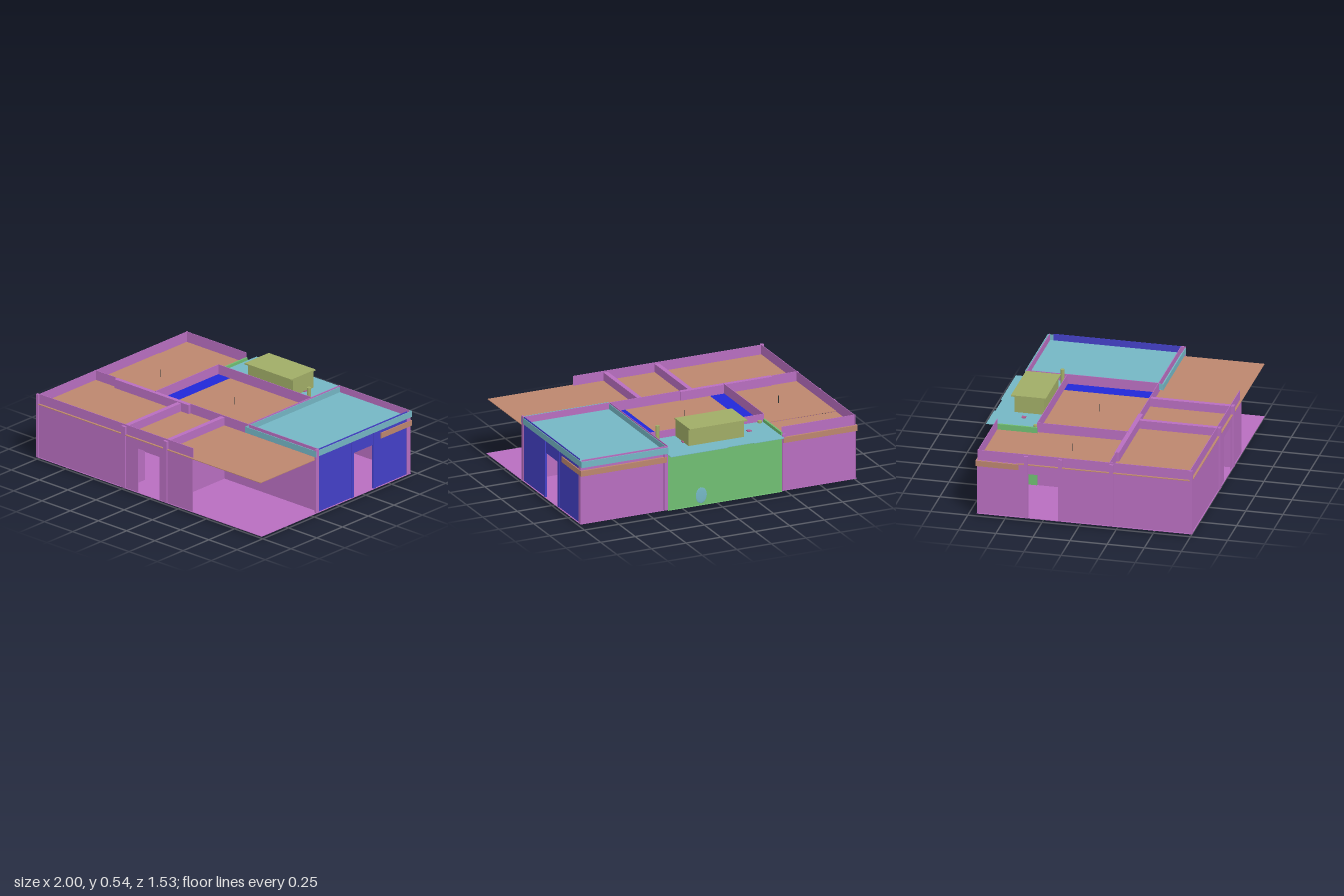
import * as THREE from 'three';

const C = { purple: 0xb86ec0, brown: 0xbc866e, teal: 0x74b6c4, olive: 0xa0ac66, blue: 0x4440c8,
  deepBlue: 0x2028d8, green: 0x70be72, sand: 0xc8c080, pink: 0xb45a90, dark: 0x303a38 };

export function createModel() {
  const model = new THREE.Group();
  const mats = {};
  const mat = (c) => (mats[c] ??= new THREE.MeshStandardMaterial({ color: C[c], flatShading: true, side: THREE.DoubleSide }));

  function add(name, geometry, color, x = 0, y = 0, z = 0) {
    const m = new THREE.Mesh(geometry, mat(color));
    m.name = name;
    m.position.set(x, y, z);
    model.add(m);
    return m;
  }
  // Box given by its limits
  const box = (name, color, x0, x1, y0, y1, z0, z1) =>
    add(name, new THREE.BoxGeometry(x1 - x0, y1 - y0, z1 - z0), color, (x0 + x1) / 2, (y0 + y1) / 2, (z0 + z1) / 2);

  const BASE = 0.02, TOP = 0.465, DOOR = 0.33, CEILING = 0.394;

  // Wall along 'x' or 'z' centred on an offset, with an optional doorway [from, to]
  function wall(name, color, axis, at, a, b, { door, bottom = BASE, top = TOP, thick = 0.004 } = {}) {
    const h = thick / 2;
    const piece = (p, q, y0) => {
      if (axis === 'x') box(name, color, p, q, y0, top, at - h, at + h);
      else box(name, color, at - h, at + h, y0, top, p, q);
    };
    if (!door) return piece(a, b, bottom);
    if (door[0] > a) piece(a, door[0], bottom);
    piece(door[0], door[1], DOOR);
    piece(door[1], b, bottom);
  }

  // Floors
  box('floor', 'purple', -1, 1, 0.017, BASE, -0.69, 0.76);
  box('backRoomFloor', 'green', -0.455, 0.37, 0.0155, 0.017, -0.7, -0.41);

  // Outer walls; the front and left ones carry a parapet set back on the ceiling
  wall('frontWall', 'purple', 'x', 0.752, -0.99, 0.38, { door: [-0.1, 0.09], top: CEILING });
  wall('frontParapet', 'purple', 'x', 0.744, -0.99, 0.38, { bottom: CEILING });
  wall('leftWall', 'purple', 'z', -0.99, -0.69, 0.752, { door: [-0.35, -0.14], top: CEILING });
  wall('leftParapet', 'purple', 'z', -0.982, -0.69, 0.752, { bottom: CEILING });
  wall('rightWall', 'blue', 'z', 0.99, -0.66, 0.2, { door: [-0.33, -0.14] });
  wall('backWallLeft', 'purple', 'x', -0.685, -0.99, -0.455);
  wall('backWallRight', 'purple', 'x', -0.685, 0.37, 0.99);
  wall('backWallMiddle', 'green', 'x', -0.695, -0.455, 0.37, { top: 0.412 });

  // Inner walls rising above the ceilings
  wall('crossWallLeft', 'purple', 'x', 0.2, -0.99, -0.8);
  wall('thickCrossWall', 'purple', 'x', 0.205, -0.8, -0.14, { door: [-0.8, -0.62], top: 0.46, thick: 0.03 });
  wall('crossWallRight', 'purple', 'x', 0.2, -0.14, 0.99, { door: [-0.1, 0.09] });
  wall('rearCrossWall', 'purple', 'x', -0.415, -0.455, 0.37);
  wall('leftInnerWall', 'purple', 'z', -0.455, -0.415, 0.2);
  wall('rightInnerWall', 'purple', 'z', 0.368, -0.69, 0.2, { door: [-0.33, -0.14] });
  wall('backRoomSide', 'green', 'z', -0.455, -0.69, -0.415, { top: 0.43, thick: 0.012 });
  wall('leftPartition', 'purple', 'z', -0.225, 0.22, 0.765, { door: [0.38, 0.57], top: 0.455, thick: 0.032 });
  wall('rightPartition', 'purple', 'z', 0.145, 0.2, 0.765, { top: 0.455, thick: 0.032 });

  // Corner and side posts
  box('rightRearPost', 'purple', 0.975, 0.997, BASE, 0.415, -0.685, -0.655);
  box('rightFrontPost', 'purple', 0.985, 0.995, BASE, TOP, 0.2, 0.23);
  box('frontLeftPost', 'purple', -1, -0.98, BASE, TOP, 0.742, 0.762);
  for (const z of [-0.36, -0.13, 0.215]) box('leftPost', 'purple', -1, -0.98, BASE, 0.455, z - 0.013, z + 0.013);
  for (const z of [-0.34, -0.13]) box('doorPost', 'blue', 0.984, 0.997, BASE, 0.415, z - 0.01, z + 0.01);
  for (const x of [-0.47, 0.385]) box('backPost', 'purple', x - 0.012, x + 0.012, BASE, 0.415, -0.697, -0.683);

  // Ceilings
  const ceiling = (name, color, x0, x1, z0, z1) => box(name, color, x0, x1, CEILING, 0.398, z0, z1);
  ceiling('frontCeiling', 'brown', -1, 0.99, 0.2, 0.761);
  ceiling('leftCeiling', 'brown', -1, -0.455, -0.41, 0.2);
  ceiling('middleCeiling', 'brown', -0.35, 0.26, -0.41, 0.2);
  ceiling('wingCeiling', 'brown', 0.37, 0.988, -0.4, 0.2);
  ceiling('ceilingStrip', 'deepBlue', -0.455, -0.35, -0.41, 0.19);
  ceiling('ceilingStrip', 'deepBlue', 0.26, 0.365, -0.41, 0.2);
  box('leftRearSlab', 'brown', -1, -0.465, 0.355, 0.393, -0.7, -0.41);
  box('rightRearSlab', 'brown', 0.38, 1, 0.355, 0.393, -0.7, -0.4);

  // Right wing roof with a raised rim
  box('wingRoof', 'teal', 0.37, 0.99, 0.415, 0.42, -0.695, 0.23);
  box('wingRimFront', 'teal', 0.367, 0.997, 0.415, 0.457, 0.226, 0.231);
  box('wingRimBack', 'teal', 0.37, 0.997, 0.415, 0.457, -0.701, -0.695);
  box('wingRimInner', 'teal', 0.372, 0.376, 0.415, 0.457, -0.69, 0.226);
  box('wingRimOuter', 'teal', 0.993, 0.997, 0.415, 0.457, -0.695, 0.2);

  // Rear canopy with a small notch at the back
  const canopy = new THREE.Shape([[-0.44, 0.42], [0.37, 0.42], [0.37, 0.7], [0.38, 0.7], [0.38, 0.765],
    [-0.03, 0.765], [-0.03, 0.755], [-0.22, 0.755], [-0.22, 0.765], [-0.44, 0.765]].map((p) => new THREE.Vector2(...p)));
  const canopyGeo = new THREE.ExtrudeGeometry(canopy, { depth: 0.003, bevelEnabled: false });
  add('rearCanopy', canopyGeo.rotateX(-Math.PI / 2), 'teal', 0, 0.413, 0);

  // Roof box, pipes and vents
  box('roofBox', 'olive', -0.21, 0.19, 0.415, 0.53, -0.63, -0.43);
  box('roofBoxLid', 'olive', -0.225, 0.19, 0.53, 0.539, -0.65, -0.415);
  const pipe = (x, y0, y1) => add('pipe', new THREE.CylinderGeometry(0.014, 0.014, y1 - y0, 12), 'olive', x, (y0 + y1) / 2, -0.437);
  pipe(0.325, 0.38, 0.515);
  pipe(-0.415, 0, 0.43);
  for (const x of [-0.285, 0.185]) box('roofVent', 'pink', x - 0.014, x + 0.014, 0.415, 0.422, -0.562, -0.534);

  // Thin lamp rods
  for (const [x, z] of [[-0.7, -0.12], [-0.03, -0.1]])
    add('lampRod', new THREE.CylinderGeometry(0.002, 0.002, 0.09, 6), 'dark', x, 0.405, z);

  // Cupboard over a low panel in the middle room
  box('lowPanel', 'pink', -0.12, 0.05, BASE, 0.145, -0.125, -0.12);
  box('cupboard', 'sand', -0.12, 0.05, 0.145, 0.36, -0.265, -0.12);

  // Swivel chair
  add('chairBack', new THREE.SphereGeometry(0.035, 16, 12), 'teal', 0, 0.14, 0.08).scale.set(1, 1.25, 0.3);
  box('chairHeadrest', 'dark', -0.045, 0.028, 0.14, 0.205, 0.055, 0.065);
  box('chairSeat', 'dark', -0.035, 0.035, 0.085, 0.1, 0.0, 0.075);
  add('chairStem', new THREE.CylinderGeometry(0.003, 0.003, 0.06, 8), 'dark', 0, 0.055, 0.04);
  for (let i = 0; i < 5; i++) {
    const leg = add('chairLeg', new THREE.BoxGeometry(0.04, 0.004, 0.006).translate(0.02, 0, 0), 'dark', 0, 0.027, 0.04);
    leg.rotation.y = (i * Math.PI * 2) / 5;
  }

  // Small round panel on the rear wall
  add('rearPanel', new THREE.SphereGeometry(0.05, 16, 12), 'teal', 0.13, 0.085, -0.697).scale.set(0.8, 1.1, 0.06);

  return model;
}
